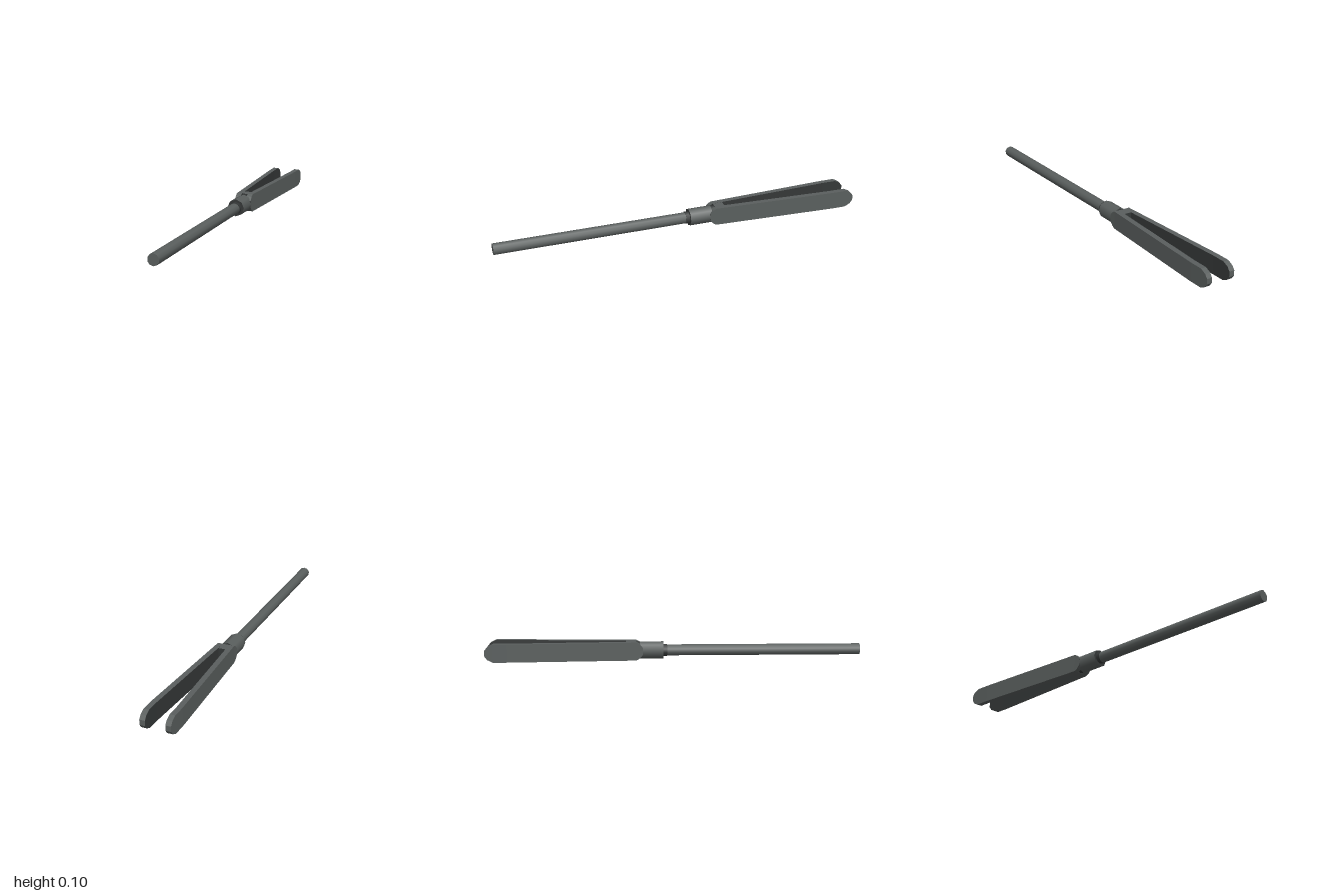
import * as THREE from 'three';

const CY = 0.049; // height of the long axis

export function createModel() {
  const group = new THREE.Group();
  const steel = new THREE.MeshStandardMaterial({ color: 0x5a5f5e });
  steel.name = 'grey steel';
  const dark = new THREE.MeshStandardMaterial({ color: 0x353838 });
  dark.name = 'dark steel';

  const add = (name, geometry, material) => {
    const mesh = new THREE.Mesh(geometry, material);
    mesh.name = name;
    group.add(mesh);
  };

  // Round bar along z: materials are side, front cap, back cap
  const bar = (name, radius, zFront, zBack, sides, materials) => {
    const g = new THREE.CylinderGeometry(radius, radius, zFront - zBack, sides);
    g.rotateX(Math.PI / 2).translate(0, CY, (zFront + zBack) / 2);
    add(name, g, materials);
  };
  bar('rod', 0.03, 1, -0.1, 10, steel);
  bar('collar', 0.033, -0.035, -0.1, 10, dark);
  bar('sleeve', 0.047, -0.055, -0.18, 8, [steel, dark, dark]);
  bar('neck', 0.045, -0.17, -0.21, 8, dark);

  // Block joining the two fork blades
  const block = new THREE.BoxGeometry(0.07, 0.096, 0.055);
  block.translate(0, CY, -0.2275);
  add('forkBase', block, [steel, steel, steel, steel, dark, dark]);

  // Blade stations from back to front: z, half height
  const stations = [
    [-1, 0.014], [-0.985, 0.034], [-0.955, 0.0485], [-0.88, 0.0485],
    [-0.2, 0.0485], [-0.182, 0.038], [-0.165, 0.018],
  ];
  const outerX = (z) => 0.046 + 0.035 * THREE.MathUtils.clamp((-0.2 - z) / 0.68, 0, 1);

  const blade = (name, side) => {
    const n = stations.length - 1;
    const box = new THREE.BoxGeometry(1, 1, 1, 1, 1, n);
    const p = box.attributes.position;
    for (let i = 0; i < p.count; i++) {
      const [z, h] = stations[Math.round((p.getZ(i) + 0.5) * n)];
      const isOuter = p.getX(i) * side > 0;
      p.setXYZ(i, side * (outerX(z) - (isOuter ? 0 : 0.029)), CY + 2 * h * p.getY(i), z);
    }
    const g = box.toNonIndexed();
    g.computeVertexNormals();
    const faces = side > 0 ? [steel, dark] : [dark, steel];
    add(name, g, [...faces, steel, steel, dark, steel]);
  };
  blade('leftBlade', 1);
  blade('rightBlade', -1);

  return group;
}
